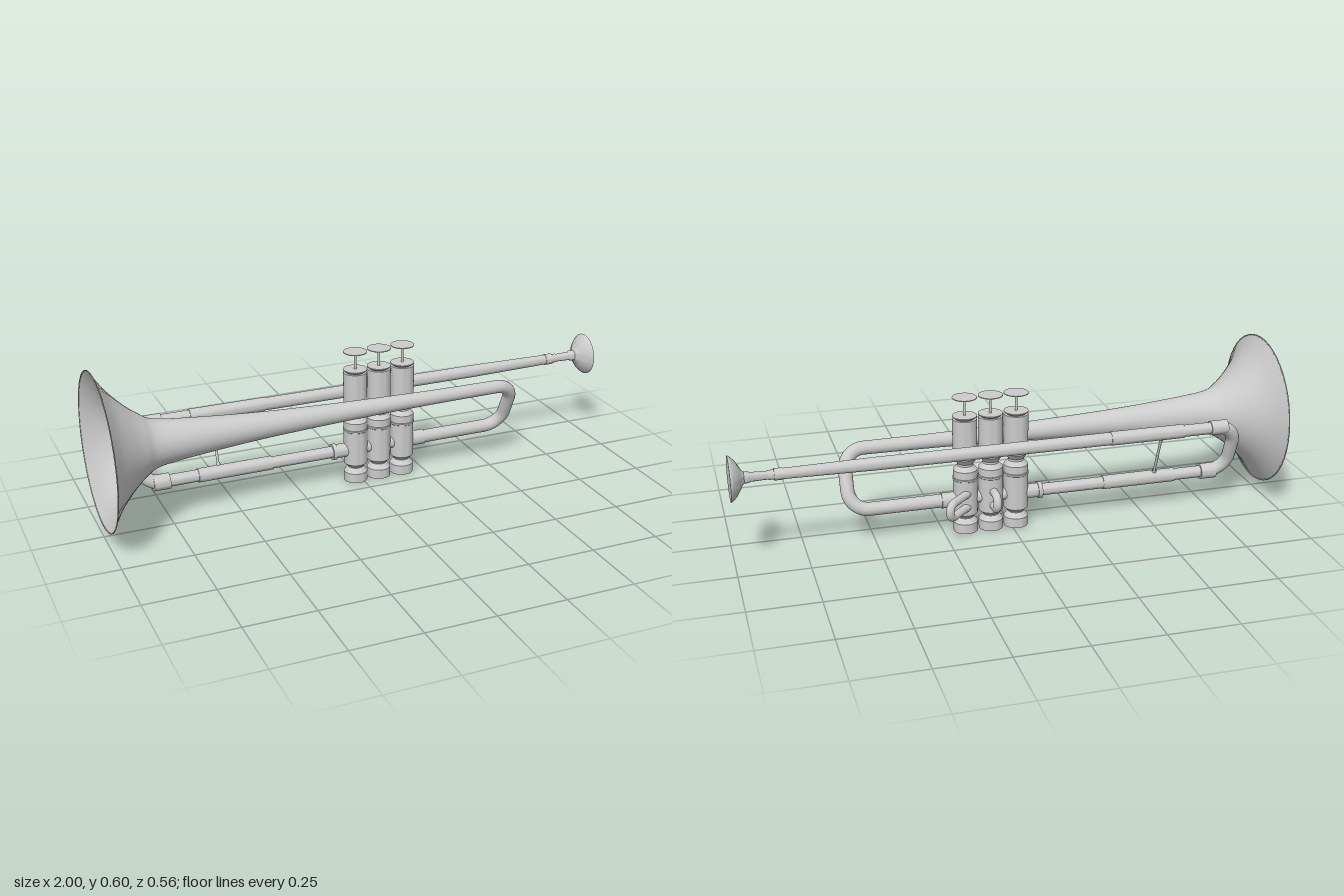
import * as THREE from 'three';
import { toCreasedNormals } from 'three/addons/utils/BufferGeometryUtils.js';

const metal = new THREE.MeshStandardMaterial({ color: 0xcccccc });
const sheet = new THREE.MeshStandardMaterial({ color: 0xcccccc, side: THREE.DoubleSide });
const v = (x, y, z) => new THREE.Vector3(x, y, z);

const AXIS_Y = 0.32;               // bell and lead pipe height
const LOW_Y = 0.124, LOW_Z = -0.094; // lower tubing
const LEAD_Y = 0.326, LEAD_Z = -0.169;
const VALVE_X = [-0.02, 0.074, 0.168], VALVE_Z = -0.092;

function add(group, name, geometry, material = metal) {
  const mesh = new THREE.Mesh(geometry, material);
  mesh.name = name;
  group.add(mesh);
  return mesh;
}

// Turned solid from [radius, height] pairs, listed bottom to top
function turned(profile, sides = 32, crease = 0.5) {
  const points = profile.map(([r, h]) => new THREE.Vector2(r, h));
  return toCreasedNormals(new THREE.LatheGeometry(points, sides), crease);
}

// Turned solid lying along x, from [x, radius] pairs
function turnedX(profile, y, z, sides = 24, crease = 0.5) {
  return turned(profile.map(([x, r]) => [r, x]), sides, crease).rotateZ(-Math.PI / 2).translate(0, y, z);
}

// Straight runs joined by rounded corners
function bentTube(points, corner, radius, segments = 96) {
  const path = new THREE.CurvePath();
  let from = points[0];
  for (let i = 1; i < points.length - 1; i++) {
    const p = points[i];
    const inDir = points[i - 1].clone().sub(p).normalize();
    const outDir = points[i + 1].clone().sub(p).normalize();
    const a = p.clone().addScaledVector(inDir, corner);
    const b = p.clone().addScaledVector(outDir, corner);
    path.add(new THREE.LineCurve3(from, a));
    path.add(new THREE.CubicBezierCurve3(a, p.clone().addScaledVector(inDir, corner * 0.45),
      p.clone().addScaledVector(outDir, corner * 0.45), b));
    from = b;
  }
  path.add(new THREE.LineCurve3(from, points[points.length - 1]));
  return new THREE.TubeGeometry(path, segments, radius, 20, false);
}

function rod(a, b, radius) {
  return new THREE.TubeGeometry(new THREE.LineCurve3(a, b), 1, radius, 12, false);
}

function createValve() {
  const valve = new THREE.Group();
  valve.name = 'valve';
  add(valve, 'valveCasing', turned([
    [0, 0], [0.044, 0], [0.044, 0.036], [0.029, 0.054], [0.029, 0.057], [0.044, 0.071],
    [0.044, 0.2], [0.046, 0.202], [0.046, 0.208], [0.044, 0.21], [0.044, 0.238],
    [0.029, 0.254], [0.029, 0.262], [0.044, 0.282], [0.044, 0.43], [0.034, 0.43],
    [0.044, 0.438], [0.044, 0.441], [0, 0.441]]));
  add(valve, 'valveStem', turned([[0.0045, 0.44], [0.0045, 0.5]], 12));
  add(valve, 'fingerButton', turned([
    [0, 0.497], [0.014, 0.497], [0.044, 0.506], [0.044, 0.509], [0, 0.509]]));
  return valve;
}

export function createModel() {
  const model = new THREE.Group();
  model.name = 'trumpet';

  // Flared bell, smoothed through a few radii
  const flare = new THREE.SplineCurve([
    [-1, 0.28], [-0.955, 0.212], [-0.9, 0.153], [-0.85, 0.112], [-0.8, 0.085], [-0.69, 0.07],
    [-0.47, 0.052], [-0.26, 0.041], [0, 0.032], [0.25, 0.0265], [0.5, 0.0245],
  ].map(([x, r]) => new THREE.Vector2(r, x)));
  const bell = new THREE.LatheGeometry(flare.getPoints(70), 48);
  bell.rotateZ(-Math.PI / 2).translate(0, AXIS_Y, 0);
  add(model, 'bell', bell, sheet);
  add(model, 'bellRim', new THREE.TorusGeometry(0.278, 0.002, 8, 48)
    .rotateY(Math.PI / 2).translate(-0.998, AXIS_Y, 0));

  // Tubing bends at either end
  add(model, 'bellBow', bentTube([
    v(0.49, AXIS_Y, 0), v(0.588, AXIS_Y, 0), v(0.588, LOW_Y, LOW_Z), v(0.18, LOW_Y, LOW_Z),
  ], 0.072, 0.0245));
  add(model, 'tuningBow', bentTube([
    v(-0.74, LEAD_Y, LEAD_Z), v(-0.838, LEAD_Y, LEAD_Z),
    v(-0.838, LOW_Y, LOW_Z), v(-0.74, LOW_Y, LOW_Z),
  ], 0.076, 0.0245));

  // Lower slide with sleeve and collars
  add(model, 'lowerSlide', turnedX([
    [-0.795, 0], [-0.795, 0.029], [-0.735, 0.029], [-0.735, 0.022], [-0.63, 0.022],
    [-0.63, 0.0255], [-0.35, 0.0255], [-0.35, 0.022], [-0.115, 0.022], [-0.115, 0.03],
    [-0.1, 0.03], [-0.1, 0.026], [-0.04, 0.026]], LOW_Y, LOW_Z));
  add(model, 'valveOutletCollar', turnedX([
    [0.2, 0.028], [0.258, 0.028], [0.258, 0.022]], LOW_Y, LOW_Z));
  add(model, 'valveConnector', turnedX([[-0.02, 0.022], [0.168, 0.022]], LOW_Y, VALVE_Z));

  // Lead pipe and mouthpiece
  add(model, 'leadPipe', turnedX([
    [-0.8, 0], [-0.8, 0.0265], [-0.735, 0.0265], [-0.735, 0.022], [-0.63, 0.022],
    [-0.63, 0.0255], [-0.35, 0.0255], [-0.35, 0.0235], [0.5, 0.0235], [0.82, 0.019],
    [0.82, 0.021], [0.85, 0.021], [0.85, 0.017], [0.87, 0.017]], LEAD_Y, LEAD_Z));
  add(model, 'mouthpiece', turnedX([
    [0.84, 0.014], [0.93, 0.0165], [0.935, 0.02], [0.95, 0.02], [0.957, 0.027], [0.966, 0.044],
    [0.977, 0.061], [0.988, 0.072], [0.996, 0.079], [1, 0.0795], [1, 0]], LEAD_Y, LEAD_Z, 40, 0.7));

  // Valves
  for (const x of VALVE_X) {
    const valve = createValve();
    valve.position.set(x, 0, VALVE_Z);
    model.add(valve);
  }

  // Upright U-shaped valve slides behind the casings
  const slide = (name, x0, z0, x1, z1) => add(model, name, bentTube([
    v(x0, 0.154, z0), v(x1, 0.154, z1), v(x1, 0.102, z1), v(x0, 0.102, z0),
  ], 0.0255, 0.0148, 60));
  slide('secondValveSlide', VALVE_X[1], -0.11, VALVE_X[1], -0.188);
  slide('thirdValveSlide', VALVE_X[2], -0.125, 0.253, -0.211);

  // Brace between lead pipe and lower slide
  const top = v(-0.55, LEAD_Y, LEAD_Z), low = v(-0.55, LOW_Y, LOW_Z);
  add(model, 'brace', rod(top, low, 0.005));
  for (const [t, name] of [[0.1, 'upperBraceFoot'], [0.84, 'lowerBraceFoot']]) {
    add(model, name, rod(top.clone().lerp(low, t), top.clone().lerp(low, t + 0.06), 0.008), sheet);
  }
  return model;
}
